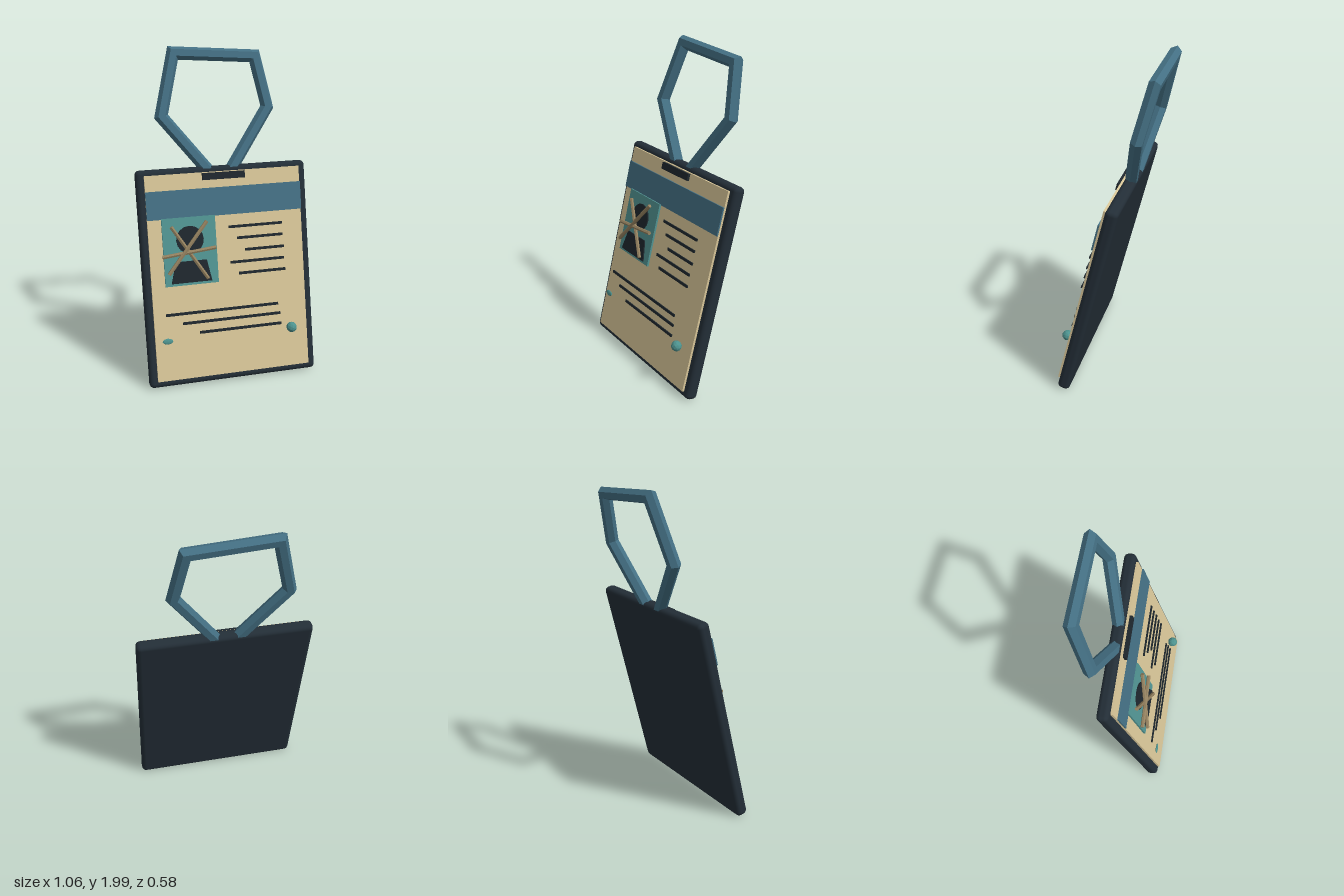
import * as THREE from 'three';
import { RoundedBoxGeometry } from 'three/addons/geometries/RoundedBoxGeometry.js';

const mat = (name, color, flatShading = false) => {
  const m = new THREE.MeshStandardMaterial({ color, flatShading });
  m.name = name;
  return m;
};

export function createModel() {
  const frameDark = mat('frame dark', 0x232e37);
  const ink = mat('ink', 0x1e272d);
  const paperTan = mat('paper tan', 0xd8c698);
  const strapBlue = mat('strap blue', 0x447084, true);
  const photoTeal = mat('photo teal', 0x519492);
  const beadTeal = mat('bead teal', 0x4d928e, true);
  const twigBrown = mat('twig brown', 0x94815f, true);

  // The whole badge leans back; its own plane is local x/y.
  const badge = new THREE.Group();
  badge.name = 'badge';
  badge.rotation.x = -0.25;
  badge.position.set(0, 0.655, 0.08);

  const add = (name, geometry, material, x = 0, y = 0, z = 0) => {
    const mesh = new THREE.Mesh(geometry, material);
    mesh.name = name;
    mesh.position.set(x, y, z);
    badge.add(mesh);
    return mesh;
  };
  // Box given by its left, right, bottom, top and back, front
  const slab = (name, material, x0, x1, y0, y1, z0, z1) =>
    add(name, new THREE.BoxGeometry(x1 - x0, y1 - y0, z1 - z0), material,
      (x0 + x1) / 2, (y0 + y1) / 2, (z0 + z1) / 2);
  // Height on the upright badge to height on the leaning plane
  const up = (y, z = 0.07) => (y - 0.655 - z * 0.247) / 0.969;

  // Card
  add('backPlate', new RoundedBoxGeometry(1.06, 1.328, 0.076, 2, 0.028), frameDark);
  slab('paper', paperTan, -0.482, 0.482, -0.621, 0.63, 0.03, 0.053);
  slab('headerBand', strapBlue, -0.483, 0.483, up(1.025), up(1.19), 0.053, 0.063);
  slab('clipSlot', ink, -0.133, 0.131, up(1.237), up(1.278), 0.036, 0.07);

  // Photo with head and shoulders
  slab('photo', photoTeal, -0.4, -0.072, up(0.632), up(1.03), 0.06, 0.073);
  const head = add('portraitHead', new THREE.CylinderGeometry(0.084, 0.084, 0.008, 16), ink,
    -0.235, up(0.898), 0.078);
  head.rotation.x = Math.PI / 2;
  const bust = new THREE.Shape([
    [-0.363, 0.65], [-0.114, 0.65], [-0.14, 0.776], [-0.33, 0.776],
  ].map(([x, y]) => new THREE.Vector2(x, up(y, 0.08))));
  add('portraitShoulders', new THREE.ExtrudeGeometry(bust, { depth: 0.008, bevelEnabled: false }),
    ink, 0, 0, 0.074);

  // Twigs crossed over the photo
  [
    [-0.41, 0.818, -0.082, 0.85, 0.098],
    [-0.347, 0.988, -0.14, 0.67, 0.094],
    [-0.13, 1.01, -0.379, 0.715, 0.102],
  ].forEach(([x0, y0, x1, y1, z]) => {
    const a = new THREE.Vector2(x0, up(y0, z));
    const b = new THREE.Vector2(x1, up(y1, z));
    const twig = add('twig', new THREE.CylinderGeometry(0.012, 0.012, a.distanceTo(b), 6), twigBrown,
      (a.x + b.x) / 2, (a.y + b.y) / 2, z);
    twig.rotation.z = Math.atan2(b.y - a.y, b.x - a.x) - Math.PI / 2;
  });

  // Text rules: left end, right end, height
  [
    [0.008, 0.347, 0.955], [0.056, 0.347, 0.886], [0.103, 0.352, 0.813],
    [0.008, 0.347, 0.744], [0.056, 0.352, 0.675],
    [-0.41, 0.294, 0.469], [-0.31, 0.304, 0.41], [-0.209, 0.309, 0.347],
  ].forEach(([x0, x1, y]) => {
    const c = up(y, 0.078);
    slab('textRule', ink, x0, x1, c - 0.008, c + 0.008, 0.074, 0.082);
  });

  // Seals at the lower corners
  add('roundSeal', new THREE.IcosahedronGeometry(0.033, 1), beadTeal, 0.373, up(0.315, 0.08), 0.08);
  add('flatSeal', new THREE.IcosahedronGeometry(0.033, 1), beadTeal, -0.41, up(0.315, 0.078), 0.078)
    .scale.set(1, 0.55, 0.2);

  // Six-sided strap loop with mitred corners, open at the card
  const path = [
    [-0.08, 0.638], [-0.347, 0.977], [-0.252, 1.349],
    [0.252, 1.316], [0.315, 1.004], [0.065, 0.638],
  ].map(([x, y]) => new THREE.Vector2(x, y));
  const sides = 6, radius = 0.039, verts = [], index = [];
  const normal = (i) => {
    const d = path[i + 1].clone().sub(path[i]).normalize();
    return new THREE.Vector2(-d.y, d.x);
  };
  path.forEach((p, i) => {
    const n0 = normal(Math.max(i - 1, 0));
    const n1 = normal(Math.min(i, path.length - 2));
    const m = n0.clone().add(n1).normalize();
    m.divideScalar(m.dot(n0));
    for (let k = 0; k < sides; k++) {
      const t = (k / sides) * Math.PI * 2;
      const c = Math.cos(t) * radius;
      verts.push(p.x + m.x * c, p.y + m.y * c, Math.sin(t) * radius);
      if (i === path.length - 1) continue;
      const a = i * sides + k, b = i * sides + ((k + 1) % sides);
      index.push(a, b, a + sides, b, b + sides, a + sides);
    }
  });
  // End caps
  const last = (path.length - 1) * sides;
  for (let k = 1; k < sides - 1; k++) {
    index.push(0, k + 1, k, last, last + k, last + k + 1);
  }
  const loop = new THREE.BufferGeometry();
  loop.setAttribute('position', new THREE.Float32BufferAttribute(verts, 3));
  loop.setIndex(index);
  const strapGeometry = loop.toNonIndexed();
  strapGeometry.computeVertexNormals();
  add('strapLoop', strapGeometry, strapBlue);

  const model = new THREE.Group();
  model.name = 'leaningBadge';
  model.add(badge);
  return model;
}
